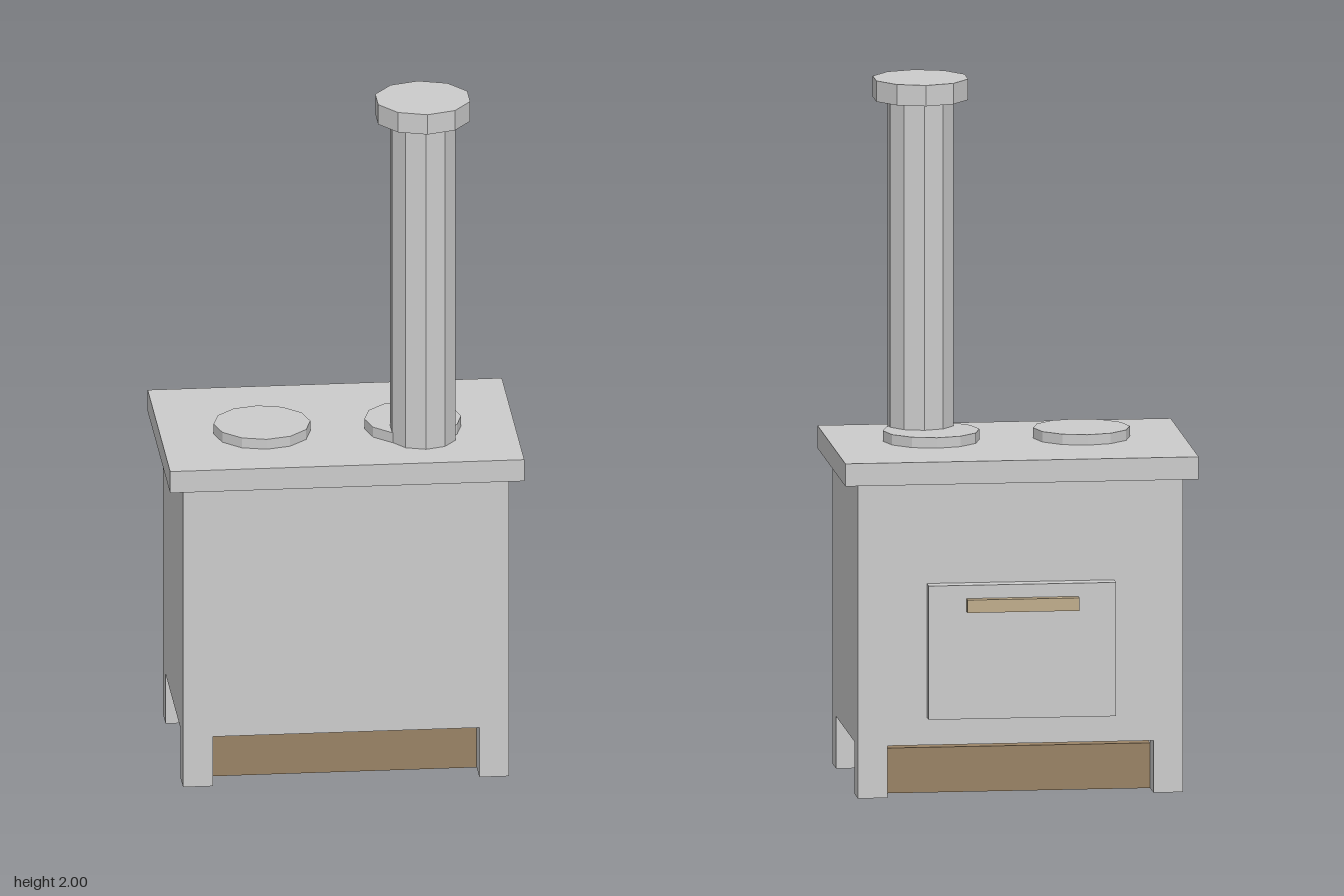
import * as THREE from 'three';

export function createModel() {
  const model = new THREE.Group();
  model.name = 'woodStove';

  const metal = new THREE.MeshStandardMaterial({ color: 0xcccccc, flatShading: true });
  const wood = new THREE.MeshStandardMaterial({ color: 0x998265, flatShading: true });
  const paleWood = new THREE.MeshStandardMaterial({ color: 0xc0ad8c, flatShading: true });

  function add(name, geometry, material, x, y, z) {
    const mesh = new THREE.Mesh(geometry, material);
    mesh.name = name;
    mesh.position.set(x, y, z);
    model.add(mesh);
  }

  // Box given by its ranges on each axis
  function box(name, material, [x0, x1], [y0, y1], [z0, z1]) {
    add(name, new THREE.BoxGeometry(x1 - x0, y1 - y0, z1 - z0), material,
      (x0 + x1) / 2, (y0 + y1) / 2, (z0 + z1) / 2);
  }

  // Upright faceted cylinder between two heights
  function drum(name, sides, radius, [y0, y1], x, z) {
    add(name, new THREE.CylinderGeometry(radius, radius, y1 - y0, sides), metal,
      x, (y0 + y1) / 2, z);
  }

  // Firebox and overhanging cooktop
  box('body', metal, [-0.465, 0.465], [0.15, 0.905], [-0.28, 0.317]);
  box('cooktop', metal, [-0.505, 0.505], [0.905, 0.97], [-0.315, 0.35]);

  // Four corner legs
  for (const [side, x] of [['Right', [-0.465, -0.38]], ['Left', [0.38, 0.465]]]) {
    box('front' + side + 'Leg', metal, x, [0, 0.15], [0.237, 0.317]);
    box('back' + side + 'Leg', metal, x, [0, 0.15], [-0.28, -0.2]);
  }

  // Wooden block between the legs, with a small gap below the body
  box('woodenBase', wood, [-0.38, 0.38], [0, 0.13], [-0.2, 0.237]);

  // Oven door with its handle on the back face
  box('ovenDoor', metal, [-0.268, 0.268], [0.23, 0.615], [-0.325, -0.28]);
  box('doorHandle', paleWood, [-0.16, 0.16], [0.54, 0.577], [-0.352, -0.325]);

  // Hot plates
  drum('rightHotPlate', 12, 0.138, [0.97, 1.0], -0.215, 0.058);
  drum('leftHotPlate', 12, 0.138, [0.97, 1.0], 0.215, 0.058);

  // Chimney pipe and cap
  drum('chimneyPipe', 10, 0.095, [0.97, 1.94], 0.235, 0.145);
  drum('chimneyCap', 10, 0.138, [1.94, 2.0], 0.235, 0.145);

  return model;
}
